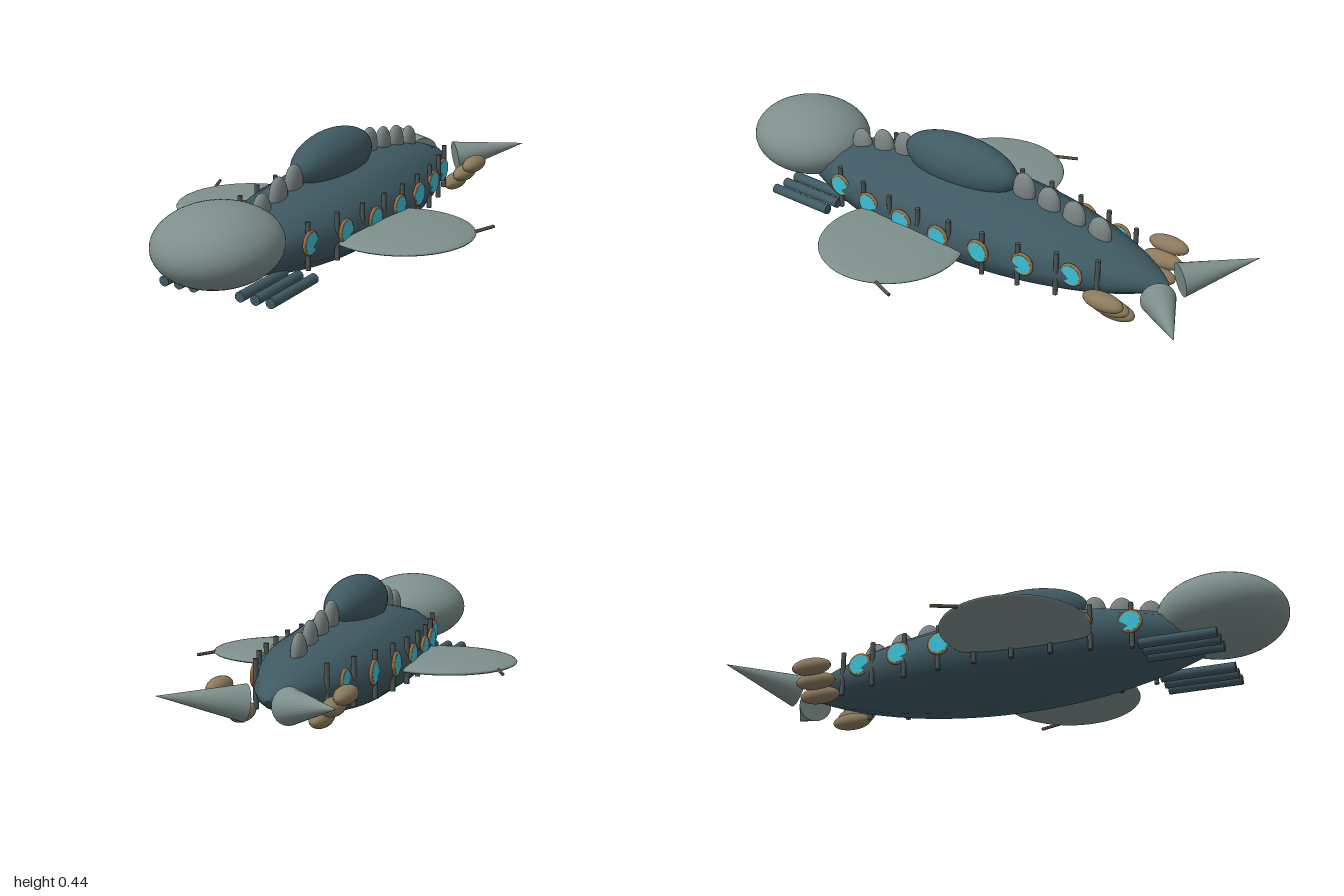
import * as THREE from 'three';

const flat = (name, color) => {
  const m = new THREE.MeshStandardMaterial({ color });
  m.name = name;
  return m;
};

export function createModel() {
  const group = new THREE.Group();
  group.name = 'submarine';

  const hullTeal = flat('hull teal', 0x3f5a63);
  const paleGrey = flat('pale grey green', 0x7d8f8c);
  const spineGrey = flat('spine grey', 0x7a8483);
  const tan = flat('tan', 0x8c7a5c);
  const darkBrown = flat('dark brown', 0x5c5044);
  const copper = flat('copper', 0xa0703c);
  const cyan = flat('window cyan', 0x3cc0d8);
  const postGrey = flat('post grey', 0x4c5454);

  const add = (name, geometry, material, x = 0, y = 0, z = 0) => {
    const mesh = new THREE.Mesh(geometry, material);
    mesh.name = name;
    mesh.position.set(x, y, z);
    group.add(mesh);
    return mesh;
  };
  const ellipsoid = (name, material, pos, radii, w = 32, h = 20) =>
    add(name, new THREE.SphereGeometry(1, w, h).scale(...radii), material, ...pos);
  // Aligns a y-axis mesh so it spans from a to b
  const span = (mesh, a, b) => {
    const dir = b.clone().sub(a);
    mesh.position.copy(a).addScaledVector(dir, 0.5);
    mesh.quaternion.setFromUnitVectors(new THREE.Vector3(0, 1, 0), dir.normalize());
  };

  // Spindle hull, wider than tall
  const L = 0.82, W = 0.24, H = 0.16, CY = 0.165;
  const halfWidth = (z) => W * Math.pow(Math.max(0, 1 - (z / L) ** 2), 0.75);
  const profile = [];
  for (let i = 0; i <= 40; i++) {
    const z = -L * Math.cos((i / 40) * Math.PI);
    profile.push(new THREE.Vector2(halfWidth(z), z));
  }
  const hull = new THREE.LatheGeometry(profile, 12).rotateX(Math.PI / 2).scale(1, H / W, 1);
  add('hull', hull, hullTeal, 0, CY, 0);

  // Bulbous nose and top cabin
  ellipsoid('nose', paleGrey, [0, 0.233, 0.77], [0.21, 0.133, 0.23], 48, 32);
  ellipsoid('cabin', hullTeal, [0, 0.35, 0.05], [0.093, 0.1, 0.242], 40, 24);

  // Row of spine bumps: z, top height
  [[0.515, 0.335], [0.41, 0.365], [0.31, 0.385], [-0.225, 0.398],
    [-0.33, 0.378], [-0.435, 0.36], [-0.54, 0.335]].forEach(([z, top]) =>
    ellipsoid('spineBump', spineGrey, [0, top - 0.065, z], [0.025, 0.065, 0.046], 20, 14));

  for (const s of [1, -1]) {
    const V = (x, y, z) => new THREE.Vector3(s * x, y, z);

    // Flat side fin with a rod at its edge
    ellipsoid('sideFin', paleGrey, [s * 0.315, 0.144, 0.122], [0.26, 0.026, 0.258], 48, 24);
    span(add('finRod', new THREE.CylinderGeometry(0.006, 0.006, 0.105, 8), darkBrown),
      V(0.535, 0.144, 0.018), V(0.574, 0.146, -0.08));

    // Conical tail fin
    span(add('tailFin', new THREE.ConeGeometry(0.061, 0.288, 24), paleGrey),
      V(0.075, 0.155, -0.822), V(0.29, 0.198, -1));

    // Stern pods and bow tubes, three per side
    for (let k = 0; k < 3; k++) {
      ellipsoid('sternPod', tan, [s * (0.135 + 0.04 * k), 0.094 + 0.04 * k, -0.693],
        [0.035, 0.031, 0.077], 24, 16);
      add('bowTube', new THREE.CylinderGeometry(0.018, 0.018, 0.265, 16).rotateX(Math.PI / 2),
        hullTeal, s * (0.09 + 0.0575 * k), 0.077, 0.655);
    }

    // Portholes with copper rims, half sunk in the hull
    for (let k = 0; k < 7; k++) {
      const z = 0.485 - 0.169 * k, x = s * (halfWidth(z) - 0.004);
      add('porthole', new THREE.CylinderGeometry(0.036, 0.036, 0.012, 24).rotateZ(Math.PI / 2),
        cyan, x, 0.182, z);
      add('portholeRim', new THREE.TorusGeometry(0.038, 0.006, 8, 28).rotateY(Math.PI / 2),
        copper, x, 0.182, z);
    }

    // Upright posts whose middles are buried in the hull
    for (let k = 0; k < 9; k++) {
      const z = 0.488 - 0.1375 * k;
      add('hullPost', new THREE.CylinderGeometry(0.009, 0.009, 0.168, 10), postGrey,
        s * halfWidth(z) * 0.94, 0.171, z);
    }
  }
  return group;
}
